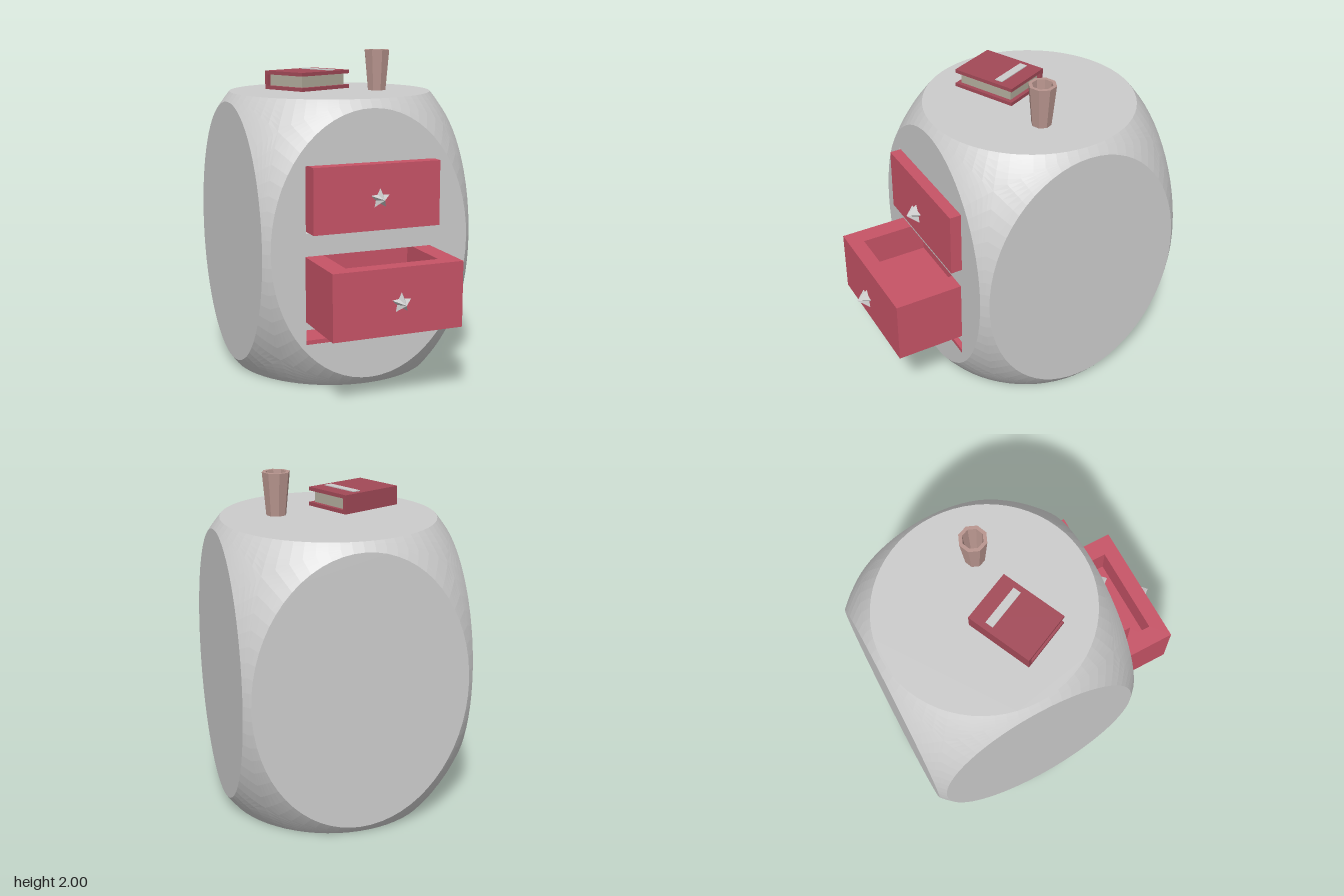
import * as THREE from 'three';

const mat = (color, side = THREE.FrontSide) =>
  new THREE.MeshStandardMaterial({ color, side, flatShading: true });
const GREY = mat(0xcccccc);
const RED = mat(0xc65366);
const COVER = mat(0xa24957);
const PAGES = mat(0xb2ad9c);
const CLAY = mat(0xb8958e, THREE.DoubleSide);

// Cabinet: a box with half sizes HALF, rounded by an ellipsoid
const HALF = new THREE.Vector3(0.675, 0.8725, 0.685);
const CENTRE = new THREE.Vector3(0, 0.8725, -0.255);
const FRONT = CENTRE.z + HALF.z;
const DISC = 0.942; // radius of each flat disc, relative to the half size
const SEG = 64;

// Openings in the front: [x0, x1, y0, y1]
const OPENINGS = [
  [-0.42, 0.393, 0.98, 1.377],
  [-0.423, 0.395, 0.443, 0.843],
  [-0.42, 0.39, 0.305, 0.397],
];

function add(parent, name, geometry, material, x = 0, y = 0, z = 0) {
  const mesh = new THREE.Mesh(geometry, material);
  mesh.name = name;
  mesh.position.set(x, y, z);
  parent.add(mesh);
  return mesh;
}

function rect(Type, x0, x1, y0, y1) {
  return new Type([[x0, y0], [x1, y0], [x1, y1], [x0, y1]].map(p => new THREE.Vector2(...p)));
}

// Flat disc at z = 1 of the unit cube
function discGeometry(holes) {
  const shape = new THREE.Shape();
  const points = [];
  for (let i = 0; i < SEG; i++) {
    const t = (i / SEG) * Math.PI * 2;
    points.push(new THREE.Vector2(DISC * Math.cos(t), DISC * Math.sin(t)));
  }
  shape.setFromPoints(points);
  shape.holes = holes;
  return new THREE.ShapeGeometry(shape).translate(0, 0, 1);
}

// Part of the sphere between a disc and the edges of its cube face
function cornerGeometry() {
  const R = Math.hypot(1, DISC), RINGS = 5;
  const pos = [], index = [];
  for (let r = 0; r <= RINGS; r++) {
    for (let i = 0; i <= SEG; i++) {
      const t = (i / SEG) * Math.PI * 2;
      const c = Math.cos(t), s = Math.sin(t);
      const edge = 1 / Math.max(Math.abs(c), Math.abs(s));
      const k = THREE.MathUtils.lerp(DISC, edge, r / RINGS);
      pos.push(...new THREE.Vector3(k * c, k * s, 1).setLength(R).toArray());
      if (r < RINGS && i < SEG) {
        const a = r * (SEG + 1) + i, b = a + SEG + 1;
        index.push(a, b, b + 1, a, b + 1, a + 1);
      }
    }
  }
  const g = new THREE.BufferGeometry();
  g.setAttribute('position', new THREE.Float32BufferAttribute(pos, 3));
  g.setIndex(index);
  g.computeVertexNormals();
  return g;
}

function createCabinet() {
  const cabinet = new THREE.Group();
  cabinet.name = 'cabinet';
  const holes = OPENINGS.map(([x0, x1, y0, y1]) => rect(THREE.Path,
    x0 / HALF.x, x1 / HALF.x, (y0 - CENTRE.y) / HALF.y, (y1 - CENTRE.y) / HALF.y));
  const q = Math.PI / 2;
  const faces = { front: [0, 0], left: [0, q], back: [0, 2 * q], right: [0, -q], top: [-q, 0], bottom: [q, 0] };
  for (const [name, [rx, ry]] of Object.entries(faces)) {
    const place = g => g.rotateX(rx).rotateY(ry).scale(HALF.x, HALF.y, HALF.z)
      .translate(CENTRE.x, CENTRE.y, CENTRE.z);
    add(cabinet, name + 'Panel', place(discGeometry(name === 'front' ? holes : [])), GREY);
    add(cabinet, name + 'RoundedEdge', place(cornerGeometry()), GREY);
  }
  // Recesses: boxes without a front, seen from inside
  const inside = mat(0xcccccc, THREE.BackSide), depth = 0.62;
  for (const [x0, x1, y0, y1] of OPENINGS) {
    const g = new THREE.BoxGeometry(x1 - x0, y1 - y0, depth);
    g.setIndex(Array.from(g.index.array).filter((_, i) => i < 24 || i >= 30));
    g.clearGroups();
    add(cabinet, 'recess', g, inside, (x0 + x1) / 2, (y0 + y1) / 2, FRONT - depth / 2);
  }
  return cabinet;
}

// Five-pointed pyramid with its tip towards +z
function starGeometry() {
  const g = new THREE.ConeGeometry(0.062, 0.068, 10, 1);
  const p = g.attributes.position;
  for (let i = 0; i < p.count; i++) {
    const k = Math.round(Math.atan2(p.getX(i), p.getZ(i)) / (Math.PI / 5));
    const f = k % 2 === 0 ? 0.48 : 1;
    p.setXYZ(i, p.getX(i) * f, p.getY(i), p.getZ(i) * f);
  }
  return g.rotateX(Math.PI / 2);
}

// Drawer with an open compartment and a star handle
function createDrawer(name, x, y, front) {
  const W = 0.81, H = 0.395, L = 0.6, D = 0.2;
  const drawer = new THREE.Group();
  drawer.name = name;
  drawer.position.set(x, y, front);
  const rim = rect(THREE.Shape, -W / 2, W / 2, 0, L);
  rim.holes.push(rect(THREE.Path, -0.29, 0.29, 0.095, L - 0.095));
  const rimGeo = new THREE.ExtrudeGeometry(rim, { depth: D, bevelEnabled: false }).rotateX(-Math.PI / 2);
  add(drawer, 'drawerWalls', rimGeo, RED, 0, H - D, 0);
  add(drawer, 'drawerBase', new THREE.BoxGeometry(W, H - D, L), RED, 0, (H - D) / 2, -L / 2);
  add(drawer, 'starHandle', starGeometry(), GREY, 0.003, 0.195, 0.058);
  return drawer;
}

// Closed book with its spine at the back
function createBook() {
  const book = new THREE.Group();
  book.name = 'book';
  book.position.set(-0.187, 1.77, -0.152);
  book.rotation.y = 0.431;
  const W = 0.416, D = 0.323, H = 0.113, T = 0.022;
  const cover = new THREE.BoxGeometry(W, T, D);
  add(book, 'bottomCover', cover, COVER, 0, T / 2, 0);
  add(book, 'topCover', cover, COVER, 0, H - T / 2, 0);
  add(book, 'spine', new THREE.BoxGeometry(W, H - 2 * T, T), COVER, 0, H / 2, -D / 2 + T / 2);
  add(book, 'pages', new THREE.BoxGeometry(W - 0.05, H - 2 * T, D - T - 0.025), PAGES, 0, H / 2, -0.002);
  add(book, 'coverBand', new THREE.BoxGeometry(0.05, 0.006, 0.255), GREY, 0.089, H + 0.002, 0);
  return book;
}

export function createModel() {
  const model = new THREE.Group();
  model.name = 'roundedDrawerCabinet';
  model.add(createCabinet());
  model.add(createDrawer('upperDrawer', 0.007, 0.98, 0.5));
  model.add(createDrawer('lowerDrawer', -0.015, 0.445, 0.85));
  // Thin tray at the bottom
  add(model, 'tray', new THREE.BoxGeometry(0.808, 0.026, 0.6), RED, -0.015, 0.319, FRONT - 0.299);
  model.add(createBook());
  // Eight-sided cup
  const cup = [[0, 0], [0.06, 0], [0.084, 0.255], [0.062, 0.255], [0.045, 0.03], [0, 0.03]]
    .map(p => new THREE.Vector2(...p));
  add(model, 'cup', new THREE.LatheGeometry(cup, 8), CLAY, 0.29, 1.745, -0.165);
  return model;
}
